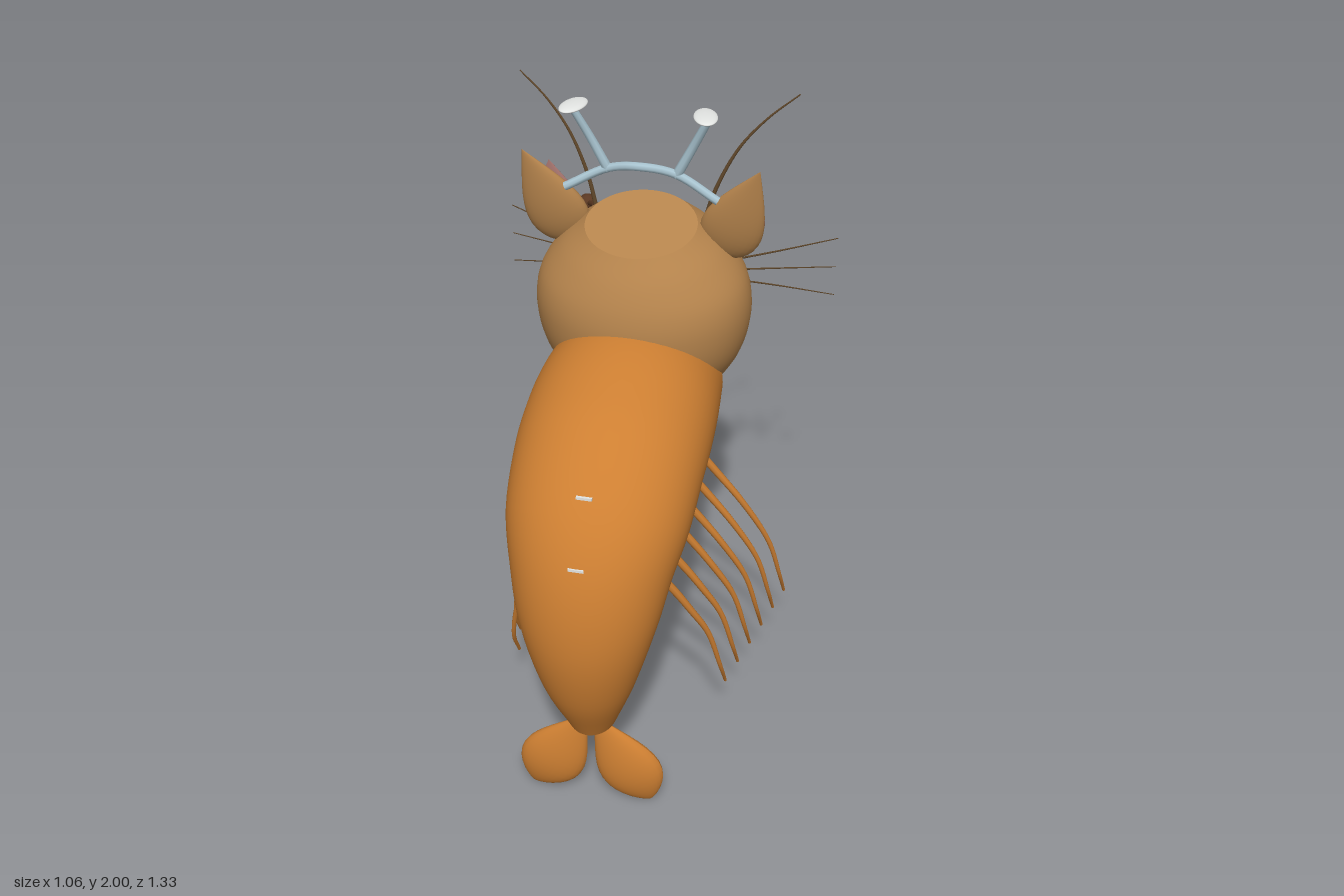
import * as THREE from 'three';

const mat = (name, color, double) => {
  const m = new THREE.MeshStandardMaterial({ color });
  m.name = name;
  if (double) m.side = THREE.DoubleSide;
  return m;
};
const V = (x, y, z) => new THREE.Vector3(x, y, z);

// Closed loft of ellipses spanning two side profiles, given as [z, y] points, with half widths in x
function loft(a, b, widths, steps = 40, seg = 56) {
  const A = new THREE.CatmullRomCurve3(a.map(([z, y]) => V(0, y, z)));
  const B = new THREE.CatmullRomCurve3(b.map(([z, y]) => V(0, y, z)));
  const W = new THREE.CatmullRomCurve3(widths.map((w, i) => V(w, i, 0)));
  const pos = [], idx = [];
  const ring = (t) => {
    const p = A.getPoint(t), q = B.getPoint(t), w = W.getPoint(t).x;
    const c = p.clone().add(q).multiplyScalar(0.5), v = p.clone().sub(c);
    for (let j = 0; j < seg; j++) {
      const k = (j / seg) * Math.PI * 2;
      pos.push(w * Math.cos(k), c.y + v.y * Math.sin(k), c.z + v.z * Math.sin(k));
    }
    return c;
  };
  for (let i = 0; i <= steps; i++) ring(i / steps);
  for (let i = 0; i < steps; i++) {
    for (let j = 0; j < seg; j++) {
      const n = (j + 1) % seg, p = i * seg, q = p + seg;
      idx.push(p + j, q + j, p + n, q + j, q + n, p + n);
    }
  }
  // Flat ends
  for (const t of [0, 1]) {
    const start = pos.length / 3, c = ring(t), mid = start + seg;
    pos.push(c.x, c.y, c.z);
    for (let j = 0; j < seg; j++) {
      const m = start + j, n = start + (j + 1) % seg;
      idx.push(mid, t ? n : m, t ? m : n);
    }
  }
  const g = new THREE.BufferGeometry();
  g.setAttribute('position', new THREE.Float32BufferAttribute(pos, 3));
  g.setIndex(idx);
  g.computeVertexNormals();
  return g;
}

// Tube through points, tapering from r0 to r1
function taperTube(points, r0, r1, steps = 24, seg = 8) {
  const curve = new THREE.CatmullRomCurve3(points);
  const g = new THREE.TubeGeometry(curve, steps, r0, seg);
  const p = g.attributes.position, v = V(0, 0, 0);
  for (let i = 0; i < p.count; i++) {
    const t = Math.floor(i / (seg + 1)) / steps, c = curve.getPointAt(t);
    v.fromBufferAttribute(p, i).sub(c).multiplyScalar(1 + (r1 / r0 - 1) * t).add(c);
    p.setXYZ(i, v.x, v.y, v.z);
  }
  return g;
}

// Flattened leaf from base to tip; bias moves the widest point, round blunts the ends
function leaf(base, tip, width, thick, bias, round = 1) {
  const g = new THREE.SphereGeometry(1, 28, 20), p = g.attributes.position;
  const up = tip.clone().sub(base), len = up.length();
  up.normalize();
  const side = new THREE.Vector3().crossVectors(up, V(0, 0, 1)).normalize();
  const out = new THREE.Vector3().crossVectors(side, up);
  for (let i = 0; i < p.count; i++) {
    const t = (p.getY(i) + 1) / 2, r = Math.hypot(p.getX(i), p.getZ(i)) || 1;
    const w = Math.pow(Math.max(0, Math.sin(Math.PI * Math.pow(t, bias))), round) / r;
    p.setXYZ(i, p.getX(i) * w * width, t * len, p.getZ(i) * w * thick);
  }
  g.applyMatrix4(new THREE.Matrix4().makeBasis(side, up, out).setPosition(base));
  g.computeVertexNormals();
  return g;
}

function ball(c, rx, ry = rx, rz = rx) {
  const g = new THREE.SphereGeometry(1, 32, 20);
  return g.scale(rx, ry, rz).translate(c.x, c.y, c.z);
}

export function createModel() {
  const group = new THREE.Group();
  const orange = mat('body orange', 0xcd7f32, true);
  const tan = mat('head tan', 0xb8864e);
  const cream = mat('muzzle cream', 0xc8b594);
  const dark = mat('dark eye brown', 0x33271d);
  const brown = mat('nose brown', 0x5a3822);
  const thread = mat('whisker brown', 0x5c4428, true);
  const blue = mat('antler blue', 0xa9c4d0, true);
  const white = mat('pale white', 0xe4e6e4);
  const pink = mat('inner ear pink', 0xa0706a);
  const iris = mat('iris amber', 0xc8741f);

  const add = (name, geometry, material) => {
    const m = new THREE.Mesh(geometry, material);
    m.name = name;
    group.add(m);
    return m;
  };

  // Curved body, from tail end to neck
  add('body', loft(
    [[0.52, 0.28], [0.615, 0.47], [0.66, 0.69], [0.63, 0.92], [0.535, 1.1], [0.35, 1.26], [0.19, 1.33], [0.02, 1.37], [-0.15, 1.37]],
    [[0.355, 0.32], [0.35, 0.5], [0.3, 0.7], [0.25, 0.78], [0.19, 0.83], [0.1, 0.868], [0.03, 0.88], [-0.06, 0.89], [-0.205, 0.905]],
    [0.075, 0.14, 0.2, 0.235, 0.265, 0.277, 0.28, 0.275, 0.26]), orange);

  // Head with flat crown and chin
  add('head', loft(
    [[-0.35, 1.665], [-0.435, 1.595], [-0.488, 1.49], [-0.512, 1.35], [-0.5, 1.215], [-0.45, 1.115], [-0.385, 1.035]],
    [[-0.05, 1.59], [-0.008, 1.5], [0.015, 1.42], [0.02, 1.34], [0.0, 1.23], [-0.07, 1.12], [-0.16, 1.05]],
    [0.165, 0.25, 0.31, 0.325, 0.3, 0.24, 0.165]), tan);

  // Nose, crest bar of the antlers, and pale marks on the back
  const nose = add('nose', ball(V(0, 1.315, -0.575), 0.05, 0.025, 0.025), brown);
  nose.geometry.computeVertexNormals();
  add('antlerBar', taperTube([V(-0.225, 1.725, -0.195), V(-0.1, 1.79, -0.207), V(0, 1.812, -0.188),
    V(0.1, 1.79, -0.207), V(0.225, 1.725, -0.195)], 0.013, 0.013), blue);
  for (const [y, z] of [[1.14, 0.507], [0.97, 0.61]]) {
    add('backMark', new THREE.BoxGeometry(0.045, 0.008, 0.008).translate(0, y, z), white);
  }

  // Everything that comes in pairs
  for (const s of [-1, 1]) {
    const P = (x, y, z) => V(s * x, y, z);

    add('tailLobe', leaf(P(0.005, 0.33, 0.472), P(0.185, 0.002, 0.462), 0.1, 0.04, 1.6, 0.75), orange);
    add('ear', leaf(P(0.22, 1.52, -0.265), P(0.345, 1.838, -0.175), 0.092, 0.035, 0.6), tan);
    add('innerEar', leaf(P(0.265, 1.55, -0.295), P(0.3, 1.757, -0.297), 0.072, 0.018, 0.6), pink);

    // Slender legs, longest and widest at the head end
    for (let i = 0; i < 6; i++) {
      const k = i / 5, mix = (a, b) => a + (b - a) * k;
      const top = mix(0.77, 0.893), z = mix(0.29, -0.21);
      add('leg', taperTube([
        P(mix(0.13, 0.15), top, z),
        P(mix(0.2, 0.235), mix(0.67, 0.77), z - mix(0.035, 0.03)),
        P(mix(0.255, 0.325), mix(0.57, 0.64), z - mix(0.065, 0.055)),
        P(mix(0.3, 0.408), 0.47, z - 0.1),
        P(mix(0.335, 0.445), 0.3, z - 0.15),
        P(mix(0.342, 0.455), 0.175, z - 0.225)], 0.014, 0.005), orange);
    }

    // Eye built from nested ovals
    add('eyeRim', ball(P(0.157, 1.442, -0.468), 0.08, 0.099, 0.045), dark);
    add('eyeWhite', ball(P(0.148, 1.438, -0.481), 0.063, 0.083, 0.039), white);
    add('iris', ball(P(0.142, 1.43, -0.492), 0.045, 0.056, 0.034), iris);
    add('pupil', ball(P(0.14, 1.43, -0.502), 0.028, 0.038, 0.027), dark);
    add('eyeGlint', ball(P(0.133, 1.449, -0.522), 0.009, 0.011, 0.006), white);

    // Muzzle, mouth and whiskers
    add('muzzle', ball(P(0.107, 1.283, -0.522), 0.107, 0.064, 0.067), cream);
    add('mouth', taperTube([P(0, 1.29, -0.57), P(0.02, 1.262, -0.568), P(0.06, 1.25, -0.575),
      P(0.1, 1.255, -0.583)], 0.006, 0.004), dark);
    for (const d of [-1, 0, 1]) {
      add('whisker', taperTube([P(0.12, 1.295 + d * 0.02, -0.575), P(0.32, 1.305 + d * 0.055, -0.615),
        P(0.53, 1.31 + d * 0.1, -0.665)], 0.004, 0.0015, 14, 6), thread);
    }

    // Feeler and its knob
    add('feeler', taperTube([P(0.165, 1.6, -0.33), P(0.195, 1.7, -0.345), P(0.255, 1.82, -0.37),
      P(0.33, 1.905, -0.398), P(0.415, 1.975, -0.42)], 0.007, 0.002), thread);
    add('feelerKnob', ball(P(0.207, 1.585, -0.39), 0.028, 0.026, 0.026), brown);
    add('feelerStem', taperTube([P(0.17, 1.61, -0.325), P(0.207, 1.585, -0.39)], 0.008, 0.008, 4), brown);

    // Antler branch with a pale cap
    add('antlerBranch', taperTube([P(0.1, 1.785, -0.21), P(0.15, 1.885, -0.2), P(0.2, 1.988, -0.175)], 0.015, 0.011), blue);
    const cap = add('antlerCap', ball(V(0, 0, 0), 0.034, 0.009, 0.06), white);
    cap.position.set(s * 0.188, 1.99, -0.165);
    cap.rotation.y = s * 0.25;

    // Pale studs on the flanks
    for (const [x, y, z] of [[0.182, 0.84, 0.27], [0.155, 0.71, 0.375]]) {
      add('flankStud', ball(P(x, y, z), 0.012), white);
    }
  }
  return group;
}
